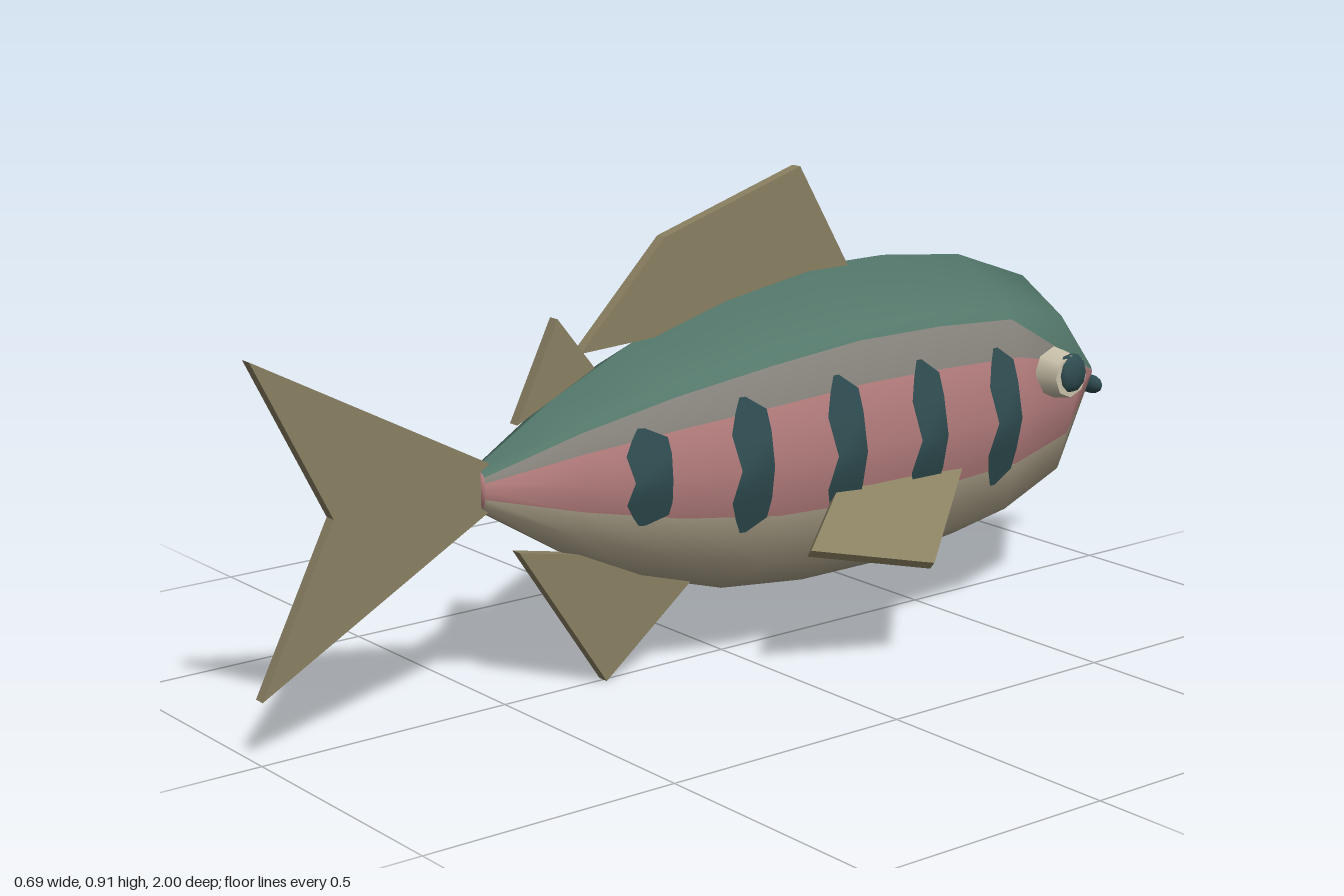
import * as THREE from 'three';

const mat = (name, color, side = THREE.FrontSide) => {
  const m = new THREE.MeshStandardMaterial({ color, side });
  m.name = name;
  return m;
};

// Body stations: z, half width, top y, bottom y (head at -z, tail at +z)
const STATIONS = [
  [-0.975, 0.015, 0.425, 0.395], [-0.78, 0.16, 0.635, 0.19], [-0.6, 0.21, 0.7, 0.125],
  [-0.4, 0.222, 0.722, 0.104], [-0.2, 0.22, 0.722, 0.104], [0, 0.203, 0.69, 0.126],
  [0.2, 0.165, 0.635, 0.186], [0.38, 0.1, 0.555, 0.27], [0.55, 0.03, 0.455, 0.375],
];

// Interpolated section at z: half width, half height, centre height
function sectionAt(z) {
  let i = 0;
  while (i < STATIONS.length - 2 && z > STATIONS[i + 1][0]) i++;
  const a = STATIONS[i], b = STATIONS[i + 1];
  const t = (z - a[0]) / (b[0] - a[0]);
  const [w, top, low] = [1, 2, 3].map(k => a[k] + (b[k] - a[k]) * t);
  return { w, h: (top - low) / 2, c: (top + low) / 2 };
}

// Unit octagon half width at the height v (-1..1)
function octagon(v) {
  const s = Math.SQRT1_2, a = Math.abs(v);
  return a < s ? 1 - (a / s) * (1 - s) : s * (1 - a) / (1 - s);
}

// Smooth eight-sided body, split lengthwise into colour bands
function bodyGeometry() {
  const s = Math.SQRT1_2, pos = [], nor = [], idx = [], groups = [];
  const ring = z => {
    const head = z < -0.9 ? 0.22 : z < -0.7 ? 0.31 : 0.38;
    const teal = z < -0.7 ? head + 0.06 : 0.63;
    const half = [1, s, teal, head, 0, -0.36, -s, -1];
    return [...half.map(v => [octagon(v), v]),
      ...half.slice(1, -1).reverse().map(v => [-octagon(v), v])];
  };
  const n = 14;
  STATIONS.forEach(([z], i) => {
    const p = sectionAt(z);
    const a = sectionAt(STATIONS[Math.max(i - 1, 0)][0]);
    const b = sectionAt(STATIONS[Math.min(i + 1, STATIONS.length - 1)][0]);
    const dz = STATIONS[Math.min(i + 1, STATIONS.length - 1)][0] - STATIONS[Math.max(i - 1, 0)][0];
    for (const [u, v] of ring(z)) {
      pos.push(u * p.w, p.c + v * p.h, z);
      const slope = (u * u * (b.w - a.w) / p.w + v * v * (b.h - a.h) / p.h) / dz;
      nor.push(...new THREE.Vector3(u / p.w, v / p.h, -slope).normalize().toArray());
    }
  });
  // Material slots: 0 back, 1 flank, 2 side stripe, 3 belly
  const bands = [0, 0, 1, 2, 2, 3, 3, 3, 3, 2, 2, 1, 0, 0];
  for (let slot = 0; slot < 4; slot++) {
    const start = idx.length;
    bands.forEach((band, j) => {
      if (band !== slot) return;
      for (let i = 0; i < STATIONS.length - 1; i++) {
        const a = i * n + j, b = i * n + (j + 1) % n, c = a + n, d = b + n;
        idx.push(a, b, c, b, d, c);
      }
    });
    // Close the two ends
    if (slot === 2) {
      const e = (STATIONS.length - 1) * n;
      for (let j = 1; j < n - 1; j++) idx.push(0, j + 1, j, e, e + j, e + j + 1);
    }
    groups.push([start, idx.length - start, slot]);
  }
  const g = new THREE.BufferGeometry();
  g.setAttribute('position', new THREE.Float32BufferAttribute(pos, 3));
  g.setAttribute('normal', new THREE.Float32BufferAttribute(nor, 3));
  // Triangles wind outward
  for (let k = 0; k < idx.length; k += 3) [idx[k + 1], idx[k + 2]] = [idx[k + 2], idx[k + 1]];
  g.setIndex(idx);
  groups.forEach(q => g.addGroup(...q));
  const e0 = new THREE.Vector3().fromArray(pos, idx[0] * 3);
  const e1 = new THREE.Vector3().fromArray(pos, idx[1] * 3).sub(e0);
  const e2 = new THREE.Vector3().fromArray(pos, idx[2] * 3).sub(e0);
  if (e1.cross(e2).dot(new THREE.Vector3().fromArray(nor, idx[0] * 3)) < 0) {
    for (let k = 0; k < idx.length; k += 3) [idx[k + 1], idx[k + 2]] = [idx[k + 2], idx[k + 1]];
    g.setIndex(idx);
  }
  return g;
}

// Flat plate from an outline, centred on its thickness
function plate(points, depth) {
  const shape = new THREE.Shape(points.map(p => new THREE.Vector2(...p)));
  const g = new THREE.ExtrudeGeometry(shape, { depth, bevelEnabled: false });
  return g.translate(0, 0, -depth / 2);
}

// Dark bar wrapped on the flank: rows of height, rear and front offset
function barGeometry(z, low, high, side) {
  const rows = [[1, 0.012, 0.0], [0.8, 0.025, -0.038], [0.5, 0.04, -0.04], [0, 0.032, -0.034],
    [-0.5, 0.04, -0.04], [-0.8, 0.025, -0.038], [-1, 0.012, 0.0]];
  const mid = 0.412, pos = [], idx = [];
  rows.forEach(([v, rear, front], i) => {
    const y = mid + v * (v > 0 ? high - mid : mid - low);
    for (const dz of [rear, front]) {
      const p = sectionAt(z + dz);
      pos.push(side * (octagon((y - p.c) / p.h) * p.w + 0.007), y, z + dz);
    }
    if (i < rows.length - 1) {
      const a = i * 2;
      if (side > 0) idx.push(a, a + 2, a + 1, a + 1, a + 2, a + 3);
      else idx.push(a, a + 1, a + 2, a + 1, a + 3, a + 2);
    }
  });
  const g = new THREE.BufferGeometry();
  g.setAttribute('position', new THREE.Float32BufferAttribute(pos, 3));
  g.setIndex(idx);
  // Front side must look outward
  g.computeVertexNormals();
  if (g.attributes.normal.getX(4) * side < 0) {
    g.setIndex(idx.reverse());
    g.computeVertexNormals();
  }
  return g;
}

export function createModel() {
  const group = new THREE.Group();
  const teal = mat('back teal', 0x55796c), silver = mat('flank grey', 0x85827b);
  const pink = mat('side pink', 0xb37c7c), belly = mat('belly cream', 0xb3a88f);
  const fin = mat('fin olive', 0x8a8062), dark = mat('bar dark teal', 0x2f4c50, THREE.DoubleSide);
  const ivory = mat('eye ivory', 0xc9c1aa);
  const add = (name, geometry, material) => {
    const m = new THREE.Mesh(geometry, material);
    m.name = name;
    group.add(m);
    return m;
  };

  add('body', bodyGeometry(), [teal, silver, pink, belly]);

  // Fins on the centre line, outlined in (z, y)
  const fins = {
    tailFin: [[0.52, 0.455], [1, 0.71], [0.85, 0.415], [1, 0.12], [0.52, 0.38]],
    dorsalFin: [[0.33, 0.63], [0.14, 0.82], [-0.18, 0.918], [-0.31, 0.7], [-0.1, 0.65]],
    rearDorsalFin: [[0.47, 0.52], [0.38, 0.7], [0.3, 0.6]],
    analFin: [[0.47, 0.285], [0.28, 0.003], [0.08, 0.16], [0.3, 0.25]],
  };
  for (const [name, outline] of Object.entries(fins)) {
    add(name, plate(outline, 0.023).rotateY(-Math.PI / 2), fin);
  }

  // Small mouth at the tip of the head
  const mouth = add('mouth', new THREE.SphereGeometry(1, 8, 6), dark);
  mouth.scale.set(0.035, 0.02, 0.015);
  mouth.position.set(0, 0.38, -0.985);

  const bars = [[0.27, 0.325, 0.505], [0.07, 0.285, 0.54], [-0.135, 0.275, 0.555],
    [-0.335, 0.28, 0.557], [-0.54, 0.275, 0.55]];
  for (const side of [1, -1]) {
    const label = side > 0 ? 'left' : 'right';
    bars.forEach(([z, low, high], i) => add(`${label}Bar${i + 1}`, barGeometry(z, low, high, side), dark));

    // Pectoral fin sloping down and out from the belly
    const outline = [[0, -0.43], [0.184, -0.23], [0.1, 0.015], [-0.02, -0.13]]
      .map(([out, z]) => [side * out, -z]);
    const pectoral = add(`${label}PectoralFin`, plate(outline, 0.018).rotateX(-Math.PI / 2), fin);
    pectoral.rotation.z = -side * 0.7;
    pectoral.position.set(side * 0.198, 0.325, 0);

    // Eye: pale faceted disc with a dark bulging pupil
    const rim = add(`${label}EyeRim`, new THREE.CylinderGeometry(0.042, 0.052, 0.05, 8).rotateZ(-side * Math.PI / 2), ivory);
    rim.position.set(side * 0.198, 0.477, -0.7);
    const pupil = add(`${label}Pupil`, new THREE.SphereGeometry(1, 8, 6), dark);
    pupil.scale.set(0.02, 0.04, 0.04);
    pupil.position.set(side * 0.216, 0.482, -0.705);
  }
  return group;
}
